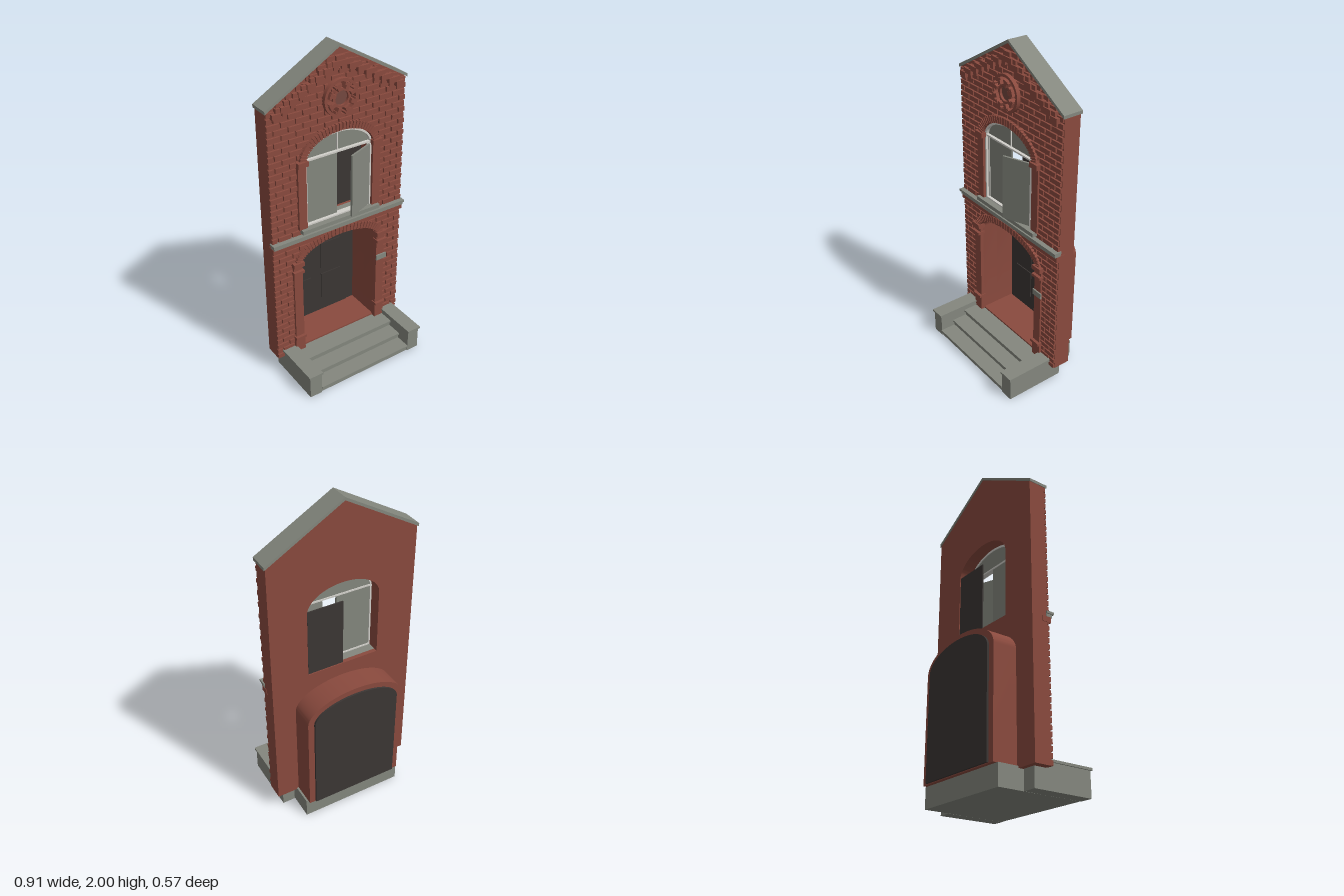
import * as THREE from 'three';
import { mergeGeometries, toCreasedNormals } from 'three/addons/utils/BufferGeometryUtils.js';

const mat = (name, color) => {
  const m = new THREE.MeshStandardMaterial({ color });
  m.name = name;
  return m;
};

export function createModel() {
  const brick = mat('red brick', 0x8a4a3e);
  const stone = mat('grey stone', 0x84877e);
  const dark = mat('charcoal', 0x3b3634);
  const white = mat('off-white trim', 0xd2d0ca);
  const mortar = mat('dull brown', 0x74483f);
  const root = new THREE.Group();
  root.name = 'townhouseFacade';

  const add = (name, geo, material, parent = root) => {
    const mesh = new THREE.Mesh(geo, material);
    mesh.name = name;
    parent.add(mesh);
    return mesh;
  };
  // box given by its limits on each axis
  const boxGeo = (x0, x1, y0, y1, z0, z1) =>
    new THREE.BoxGeometry(x1 - x0, y1 - y0, z1 - z0)
      .translate((x0 + x1) / 2, (y0 + y1) / 2, (z0 + z1) / 2);
  const box = (name, material, ...lim) => add(name, boxGeo(...lim), material);
  // the same box on both sides
  const pair = (name, material, x0, x1, ...rest) => {
    box(name + 'Left', material, x0, x1, ...rest);
    box(name + 'Right', material, -x1, -x0, ...rest);
  };
  const slab = (shape, z0, z1) => toCreasedNormals(
    new THREE.ExtrudeGeometry(shape, { depth: z1 - z0, bevelEnabled: false, curveSegments: 28 })
      .translate(0, 0, z0), 0.5);
  // arched outline: half width, bottom, springing line, crown
  const archPath = (hw, y0, spring, top, Kind = THREE.Shape) => {
    const p = new Kind();
    p.moveTo(-hw, y0);
    p.lineTo(hw, y0);
    p.lineTo(hw, spring);
    p.absellipse(0, spring, hw, top - spring, 0, Math.PI, false, 0);
    p.lineTo(-hw, y0);
    return p;
  };
  const archRing = (outer, inner) => {
    const s = archPath(...outer);
    s.holes.push(archPath(...inner, THREE.Path));
    return s;
  };

  const HW = 0.445, EAVE = 1.725, PEAK = 1.985;
  const doorHole = [0.265, 0.13, 0.74, 0.86];
  const windowHole = [0.222, 0.975, 1.38, 1.515];

  // gabled wall with both openings
  const wall = new THREE.Shape([[-HW, 0.11], [HW, 0.11], [HW, EAVE], [0, PEAK], [-HW, EAVE]]
    .map(([x, y]) => new THREE.Vector2(x, y)));
  wall.holes.push(archPath(...doorHole, THREE.Path), archPath(...windowHole, THREE.Path));
  add('wall', slab(wall, -0.125, -0.022), brick);

  // raised bricks in running bond, cut around the openings
  const openAt = ([hw, y0, spring, top], y) => {
    if (y < y0 || y > top) return 0;
    if (y < spring) return hw;
    return hw * Math.sqrt(1 - ((y - spring) / (top - spring)) ** 2);
  };
  const bricks = [];
  const course = 0.036, pitch = 0.09, gap = 0.009;
  for (let row = 0, y = 0.112; y < 1.93; row++, y += course) {
    const top = y + course - gap;
    const half = Math.min(HW, HW * (PEAK - top) / (PEAK - EAVE));
    const open = Math.max(openAt(doorHole, y), openAt(windowHole, y),
      openAt(doorHole, top), openAt(windowHole, top));
    const spans = open ? [[-half, -open], [open, half]] : [[-half, half]];
    for (const [a, b] of spans) {
      for (let x = -0.54 + (row % 2) * pitch / 2; x < 0.5; x += pitch) {
        const x0 = Math.max(a, x), x1 = Math.min(b, x + pitch - gap);
        if (x1 - x0 > 0.008) bricks.push(boxGeo(x0, x1, y, top, -0.023, -0.011));
      }
    }
  }
  add('wallBricks', mergeGeometries(bricks), brick);

  // roof coping
  const roof = new THREE.Shape([[-0.453, 1.72], [0, 1.983], [0.453, 1.72], [0.453, 1.738], [0, 2], [-0.453, 1.738]]
    .map(([x, y]) => new THREE.Vector2(x, y)));
  add('roofCoping', slab(roof, -0.13, -0.008), stone);

  // stepped brickwork under the gable, in two layers
  const corbels = [];
  for (let i = 0; i < 8; i++) {
    const x0 = i * 0.0525, y = 1.885 - i * 0.0285;
    for (const s of [-1, 1]) {
      const lim = (a, b) => (s > 0 ? [a, b] : [-b, -a]);
      corbels.push(boxGeo(...lim(x0, x0 + 0.0525), y, y + 0.03, -0.02, 0.01));
      corbels.push(boxGeo(...lim(x0, x0 + 0.028), y + 0.03, y + 0.055, -0.02, 0.002));
      corbels.push(boxGeo(...lim(x0 + 0.01, x0 + 0.04), y - 0.022, y, -0.02, 0));
    }
  }
  add('gableCorbels', mergeGeometries(corbels), brick);

  // round ornament
  const rosette = new THREE.Group();
  rosette.name = 'rosette';
  rosette.position.set(0, 1.71, 0);
  root.add(rosette);
  const ringShape = (r1, r0) => {
    const s = new THREE.Shape().absarc(0, 0, r1, 0, Math.PI * 2, false);
    s.holes.push(new THREE.Path().absarc(0, 0, r0, 0, Math.PI * 2, true));
    return s;
  };
  add('rosetteRim', slab(ringShape(0.108, 0.092), -0.02, 0.012), brick, rosette);
  add('rosetteInnerRing', slab(ringShape(0.056, 0.042), -0.02, 0.012), brick, rosette);
  add('rosetteCentre', new THREE.CylinderGeometry(0.043, 0.043, 0.02, 32)
    .rotateX(Math.PI / 2).translate(0, 0, -0.012), mortar, rosette);
  for (let i = 0; i < 8; i++) {
    const a = (i + 0.5) * Math.PI / 4;
    add('rosetteSpoke', new THREE.BoxGeometry(0.038, 0.022, 0.045)
      .translate(0.072, 0, 0.008).rotateZ(a), brick, rosette);
    add('rosetteBlock', new THREE.BoxGeometry(0.014, 0.042, 0.042)
      .translate(0.082, 0, 0.009).rotateZ(a), brick, rosette);
  }

  // ring of wedge bricks over an opening
  const voussoirs = (name, a, b, spring, length, count) => {
    const list = [];
    for (let i = 0; i < count; i++) {
      const t = Math.PI * (i + 0.5) / count;
      const c = Math.cos(t), s = Math.sin(t);
      const tangent = Math.hypot(a * s, b * c) * Math.PI / count;
      list.push(new THREE.BoxGeometry(length, tangent - 0.004, 0.028)
        .translate(length / 2, 0, -0.008)
        .rotateZ(Math.atan2(s / b, c / a))
        .translate(a * c, spring + b * s, 0));
    }
    add(name, mergeGeometries(list), brick);
    const ring = new THREE.Shape().absellipse(0, spring, a + length * 0.9, b + length * 0.9, 0, Math.PI, false, 0);
    ring.absellipse(0, spring, a, b, Math.PI, 0, true, 0);
    add(name + 'Bed', slab(ring, -0.03, -0.002), brick);
  };
  voussoirs('windowArch', 0.222, 0.135, 1.385, 0.042, 33);
  voussoirs('doorArch', 0.268, 0.115, 0.745, 0.042, 33);

  // pilasters beside door and window
  pair('doorPilaster', brick, 0.265, 0.322, 0.12, 0.75, -0.03, 0);
  pair('doorPilasterBase', brick, 0.262, 0.328, 0.12, 0.215, -0.03, 0.004);
  pair('doorPilasterBaseBand', brick, 0.26, 0.331, 0.215, 0.232, -0.03, 0.018);
  pair('doorPilasterNeck', brick, 0.26, 0.331, 0.695, 0.712, -0.03, 0.018);
  pair('doorCapital', brick, 0.258, 0.328, 0.74, 0.768, -0.03, 0.016);
  pair('windowPilaster', brick, 0.222, 0.275, 0.975, 1.375, -0.03, 0);
  pair('windowCapital', brick, 0.214, 0.28, 1.37, 1.4, -0.03, 0.014);

  // cornice between the floors
  box('corniceTop', stone, -0.453, 0.453, 0.926, 0.94, -0.03, 0.018);
  box('corniceLower', stone, -0.447, 0.447, 0.908, 0.926, -0.03, 0.01);
  box('brickBand', brick, -0.448, 0.448, 0.875, 0.908, -0.055, 0.0);
  box('windowSill', stone, -0.265, 0.265, 0.952, 0.976, -0.1, 0.02);

  // window: trim, fixed panes, inner shade and open leaf
  add('windowFrame', slab(archRing([0.224, 0.975, 1.38, 1.515], [0.212, 0.985, 1.38, 1.503]), -0.05, -0.016), white);
  box('windowTransom', white, -0.215, 0.215, 1.38, 1.39, -0.05, -0.018);
  box('fanlightBar', white, -0.004, 0.004, 1.39, 1.505, -0.036, -0.03);
  add('fanlightPane', slab(archPath(0.214, 1.385, 1.386, 1.506), -0.045, -0.036), stone);
  box('fixedLeaf', stone, -0.214, 0, 0.982, 1.382, -0.045, -0.034);
  pair('fixedLeafTrim', white, 0.2, 0.212, 0.985, 1.38, -0.034, -0.03);
  box('innerShade', dark, 0, 0.22, 0.978, 1.39, -0.122, -0.114);
  const leaf = new THREE.Group();
  leaf.name = 'openLeaf';
  leaf.position.set(0.208, 0, -0.014);
  leaf.rotation.y = 0.37;
  root.add(leaf);
  add('leafPanel', boxGeo(-0.182, 0, 0.987, 1.376, -0.006, 0.006), stone, leaf);
  add('leafStile', boxGeo(-0.008, 0.002, 0.985, 1.378, -0.008, 0.008), white, leaf);

  // door niche with its back and panelled leaf
  add('doorNiche', slab(archRing([0.308, 0.12, 0.745, 0.895], [0.266, 0.13, 0.74, 0.86]), -0.272, -0.12), brick);
  add('doorBack', slab(archPath(0.27, 0.125, 0.74, 0.862), -0.284, -0.25), dark);
  box('doorLeaf', dark, -0.26, 0.21, 0.132, 0.72, -0.25, -0.243);
  for (const x of [-0.205, 0.015]) {
    for (const y of [0.23, 0.46]) {
      box('doorPanel', dark, x, x + 0.145, y, y + 0.185, -0.243, -0.237);
    }
  }

  // number plate
  box('numberPlate', stone, 0.262, 0.334, 0.565, 0.6, 0.002, 0.011);

  // base, steps and cheek walls
  box('base', stone, -0.32, 0.32, 0, 0.12, -0.25, 0.02);
  [0.275, 0.185, 0.095].forEach((z, i) => {
    const y = i * 0.04;
    box('stepRiser', stone, -0.322, 0.322, y, y + 0.03, -0.02, z - 0.006);
    box('stepTread', stone, -0.322, 0.322, y + 0.028, y + 0.04, -0.02, z + 0.005);
  });
  pair('cheekWall', stone, 0.323, 0.402, 0, 0.143, -0.095, 0.275);
  pair('cheekCap', stone, 0.318, 0.41, 0.143, 0.157, -0.095, 0.283);

  return root;
}
